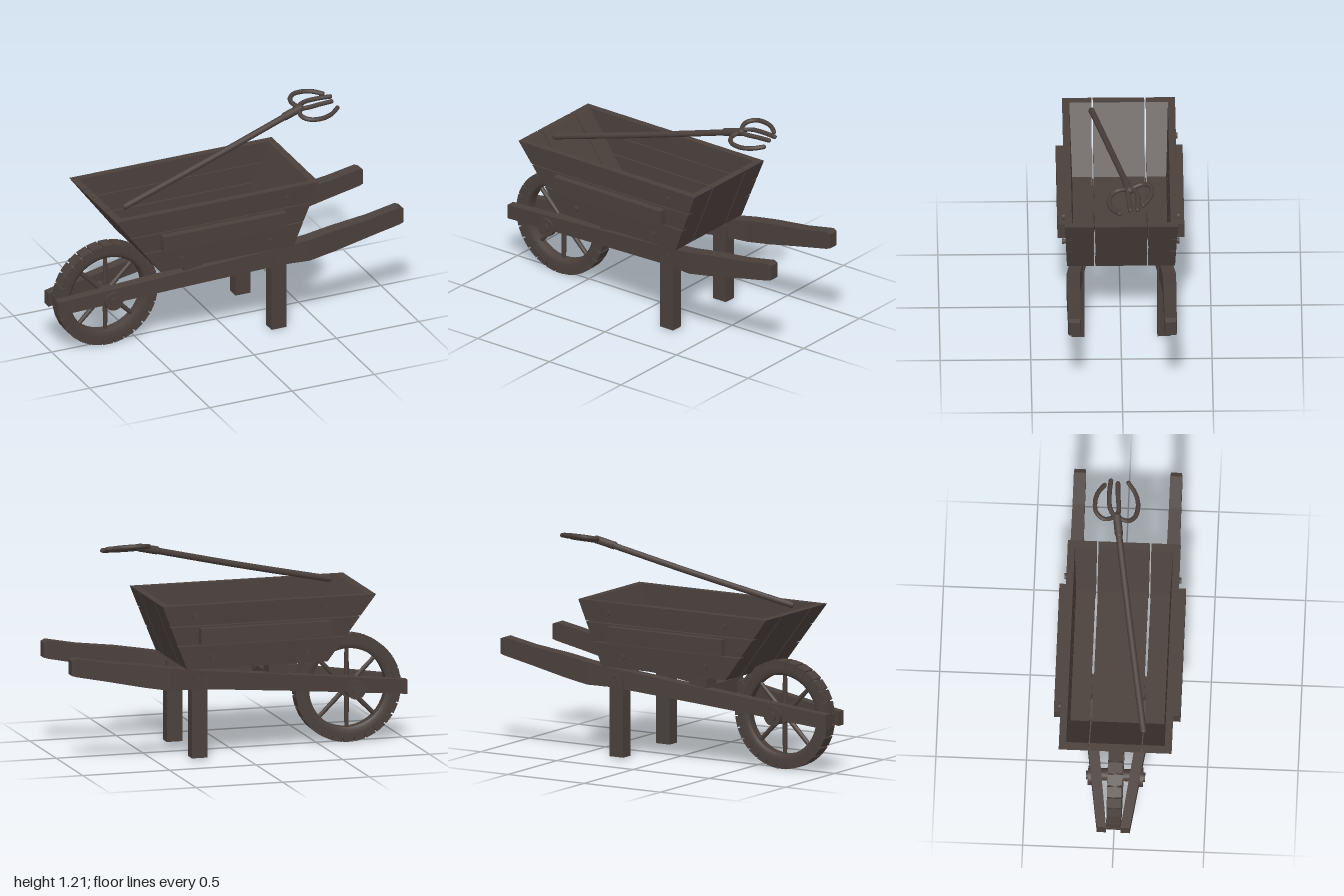
import * as THREE from 'three';

const wood = new THREE.MeshStandardMaterial({ color: 0x4a403c });
wood.name = 'dark weathered wood';

// Solid through a list of four-cornered rings, capped at both ends
function loft(rings) {
  const tris = [];
  const quad = (a, b, c, d) => tris.push([a, b, c], [a, c, d]);
  for (let i = 0; i < rings.length - 1; i++) {
    for (let k = 0; k < 4; k++) {
      const n = (k + 1) % 4;
      quad(rings[i][k], rings[i][n], rings[i + 1][n], rings[i + 1][k]);
    }
  }
  const [a, b, c, d] = rings[0];
  quad(d, c, b, a);
  quad(...rings[rings.length - 1]);
  // Turn the faces outward if the solid came out inverted
  let volume = 0;
  const v = (p) => new THREE.Vector3(...p);
  for (const t of tris) volume += v(t[0]).dot(v(t[1]).cross(v(t[2])));
  if (volume < 0) tris.forEach((t) => t.reverse());
  const geo = new THREE.BufferGeometry();
  geo.setAttribute('position', new THREE.Float32BufferAttribute(tris.flat(2), 3));
  geo.computeVertexNormals();
  return geo;
}

function add(parent, name, geo, x = 0, y = 0, z = 0) {
  const mesh = new THREE.Mesh(geo, wood);
  mesh.name = name;
  mesh.position.set(x, y, z);
  parent.add(mesh);
  return mesh;
}

const box = (w, h, d) => new THREE.BoxGeometry(w, h, d);
const disc = (r, len, sides = 20) => new THREE.CylinderGeometry(r, r, len, sides).rotateX(Math.PI / 2);

// Tray outline: sloping ends, slightly flared sides
const Y0 = 0.525, Y1 = 0.89;
const rise = (y) => (y - Y0) / (Y1 - Y0);
const frontX = (y) => -0.475 - 0.275 * rise(y);
const rearX = (y) => 0.335 + 0.145 * rise(y);
const sideZ = (y) => 0.298 + 0.014 * rise(y);

function makeTray() {
  const tray = new THREE.Group();
  tray.name = 'tray';
  for (const s of [1, -1]) {
    // Three stacked side planks
    for (const [a, b] of [[Y0, 0.657], [0.664, 0.768], [0.774, Y1]]) {
      add(tray, 'sidePlank', loft([a, b].map((y) => [
        [frontX(y), y, s * sideZ(y)], [rearX(y), y, s * sideZ(y)],
        [rearX(y), y, s * (sideZ(y) - 0.04)], [frontX(y), y, s * (sideZ(y) - 0.04)],
      ])));
    }
    add(tray, 'sideBatten', box(0.75, 0.09, 0.05), -0.105, 0.715, s * 0.325);
    // Bolts through the side planks
    const bolts = [[0.29, 0.83], [-0.35, 0.59], [0.19, 0.59]];
    if (s < 0) bolts.push([-0.47, 0.83]);
    for (const [x, y] of bolts) {
      add(tray, 'boltShank', disc(0.009, 0.03, 8), x, y, s * 0.305);
      add(tray, 'boltHead', disc(0.016, 0.012, 10), x, y, s * 0.317);
    }
  }
  // End planks and floor planks
  for (const [z0, z1] of [[-0.275, -0.15], [-0.142, 0.142], [0.15, 0.275]]) {
    for (const [edge, t] of [[frontX, 0.045], [rearX, -0.042]]) {
      const flare = (z, y) => (Math.abs(z) > 0.2 ? z + Math.sign(z) * 0.014 * (rise(y) - 1) : z);
      add(tray, 'endPlank', loft([Y0, Y1].map((y) => [
        [edge(y), y, flare(z0, y)], [edge(y), y, flare(z1, y)],
        [edge(y) + t, y, flare(z1, y)], [edge(y) + t, y, flare(z0, y)],
      ])));
    }
    add(tray, 'floorPlank', box(0.78, 0.035, z1 - z0 - 0.005), -0.07, 0.544, (z0 + z1) / 2);
  }
  return tray;
}

function makeFrame() {
  const frame = new THREE.Group();
  frame.name = 'frame';
  // Stations: x, bottom, top, centre z, half thickness
  const stations = [
    [-1, 0.27, 0.35, 0.065, 0.026], [-0.3, 0.35, 0.44, 0.163, 0.033],
    [0.27, 0.41, 0.515, 0.243, 0.036], [0.43, 0.413, 0.54, 0.265, 0.037],
    [0.58, 0.44, 0.565, 0.266, 0.036], [0.8, 0.487, 0.592, 0.266, 0.034],
    [0.975, 0.523, 0.625, 0.266, 0.034], [1, 0.53, 0.615, 0.266, 0.03],
  ];
  for (const s of [1, -1]) {
    add(frame, 'handleBeam', loft(stations.map(([x, b, t, z, h]) => [
      [x, b, s * (z - h)], [x, b, s * (z + h)], [x, t, s * (z + h)], [x, t, s * (z - h)],
    ])));
    add(frame, 'leg', box(0.09, 0.46, 0.073), 0.255, 0.25, s * 0.237);
    add(frame, 'beamBolt', disc(0.012, 0.012, 10), 0.27, 0.47, s * 0.281);
    add(frame, 'trayBlock', box(0.11, 0.1, 0.1), -0.225, 0.48, s * 0.135);
  }
  add(frame, 'crossbar', box(0.1, 0.105, 0.27), -0.225, 0.4, 0);
  return frame;
}

function makeWheel() {
  const wheel = new THREE.Group();
  wheel.name = 'wheel';
  wheel.position.set(-0.675, 0.312, 0);
  // Tyre with a rounded section
  const section = [
    [0.222, -0.025], [0.24, -0.036], [0.275, -0.037], [0.294, -0.026],
    [0.298, 0], [0.294, 0.026], [0.275, 0.037], [0.24, 0.036], [0.222, 0.025], [0.222, -0.025],
  ].map(([r, z]) => new THREE.Vector2(r, z));
  add(wheel, 'tyre', new THREE.LatheGeometry(section, 48).rotateX(Math.PI / 2));
  // Raised tread blocks
  const lugs = 28;
  for (let i = 0; i < lugs; i++) {
    const a = (i / lugs) * Math.PI * 2;
    const r = 0.281;
    add(wheel, 'tread', box(0.042, 0.058, 0.08), Math.cos(a) * r, Math.sin(a) * r).rotation.z = a;
  }
  // Eight spokes
  for (let i = 0; i < 8; i++) {
    const a = (i / 8) * Math.PI * 2;
    const spoke = add(wheel, 'spoke', new THREE.CylinderGeometry(0.012, 0.015, 0.2, 8),
      Math.cos(a) * 0.135, Math.sin(a) * 0.135);
    spoke.rotation.z = a - Math.PI / 2;
  }
  add(wheel, 'hub', disc(0.05, 0.09));
  add(wheel, 'axle', disc(0.034, 0.28));
  for (const s of [1, -1]) {
    add(wheel, 'axleCap', disc(0.054, 0.03), -0.012, 0.01, s * 0.137);
    add(wheel, 'axleNut', disc(0.026, 0.016, 12), -0.012, 0.01, s * 0.155);
  }
  return wheel;
}

function makeFork() {
  const fork = new THREE.Group();
  fork.name = 'pitchfork';
  // The head lies on a plane tilted across z
  const headY = (z) => 1.143 + (0.08 - z) * 0.27;
  const tube = (name, pts, r) => {
    const curve = new THREE.CatmullRomCurve3(pts.map((p) => new THREE.Vector3(...p)));
    add(fork, name, new THREE.TubeGeometry(curve, 20, r, 8));
    for (const [p, tip] of [[pts[0], 0], [pts[pts.length - 1], 1]]) {
      add(fork, name + (tip ? 'Tip' : 'Base'), new THREE.SphereGeometry(r, 8, 6), ...p);
    }
  };
  tube('shaft', [[-0.62, 0.895, 0.15], [-0.06, 1.027, 0.053], [0.5, 1.168, -0.04]], 0.018);
  tube('socket', [[0.43, 1.152, -0.028], [0.53, 1.176, -0.043]], 0.023);
  const tines = [
    [[0.52, -0.05], [0.502, -0.115], [0.535, -0.158], [0.6, -0.166], [0.655, -0.15], [0.7, -0.118]],
    [[0.51, -0.05], [0.57, -0.083], [0.65, -0.09], [0.73, -0.085]],
    [[0.51, -0.04], [0.57, -0.035], [0.65, -0.042], [0.72, -0.046]],
    [[0.52, -0.04], [0.508, 0.02], [0.54, 0.058], [0.61, 0.07], [0.675, 0.052], [0.73, 0.012]],
  ];
  for (const t of tines) tube('tine', t.map(([x, z]) => [x, headY(z), z]), 0.013);
  return fork;
}

export function createModel() {
  const model = new THREE.Group();
  model.name = 'wheelbarrow';
  model.add(makeTray(), makeFrame(), makeWheel(), makeFork());
  return model;
}
